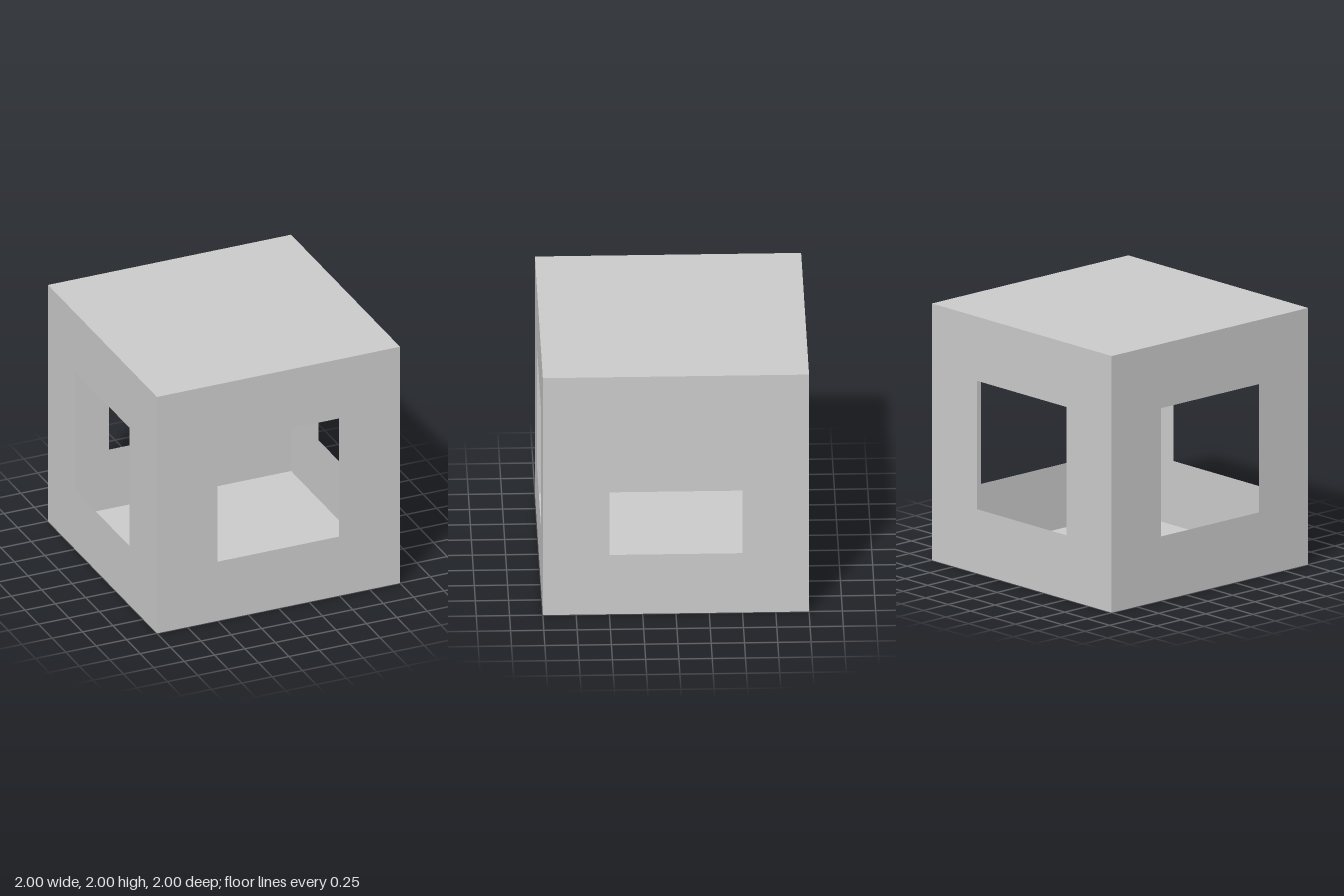
import * as THREE from 'three';

export function createModel() {
  const model = new THREE.Group();
  const sheet = new THREE.MeshStandardMaterial({ color: 0xcccccc, side: THREE.DoubleSide });
  const solid = new THREE.MeshStandardMaterial({ color: 0xcccccc });

  const add = (name, geometry, material) => {
    const mesh = new THREE.Mesh(geometry, material);
    mesh.name = name;
    model.add(mesh);
    return mesh;
  };

  // Thin square wall with a square window
  const outline = (r) => [[-r, -r], [r, -r], [r, r], [-r, r]].map(([x, y]) => new THREE.Vector2(x, y));
  const wallShape = new THREE.Shape(outline(1));
  wallShape.holes.push(new THREE.Path(outline(0.5).reverse()));
  const wall = new THREE.ShapeGeometry(wallShape).translate(0, 1, 1);

  // Four identical walls around the hollow room
  ['frontWall', 'leftWall', 'backWall', 'rightWall'].forEach((name, i) => {
    add(name, wall, sheet).rotation.y = i * Math.PI / 2;
  });

  // Floor and ceiling sheets
  add('floor', new THREE.PlaneGeometry(2, 2).rotateX(Math.PI / 2), sheet);
  add('ceiling', new THREE.PlaneGeometry(2, 2).rotateX(-Math.PI / 2), sheet).position.y = 2;

  // Round lamp hanging from the ceiling, slightly off centre
  const bottom = 1.12, top = 1.99;
  add('hangingLamp', new THREE.CylinderGeometry(0.2, 0.2, top - bottom, 48), solid)
    .position.set(0.03, (top + bottom) / 2, 0.01);

  return model;
}
